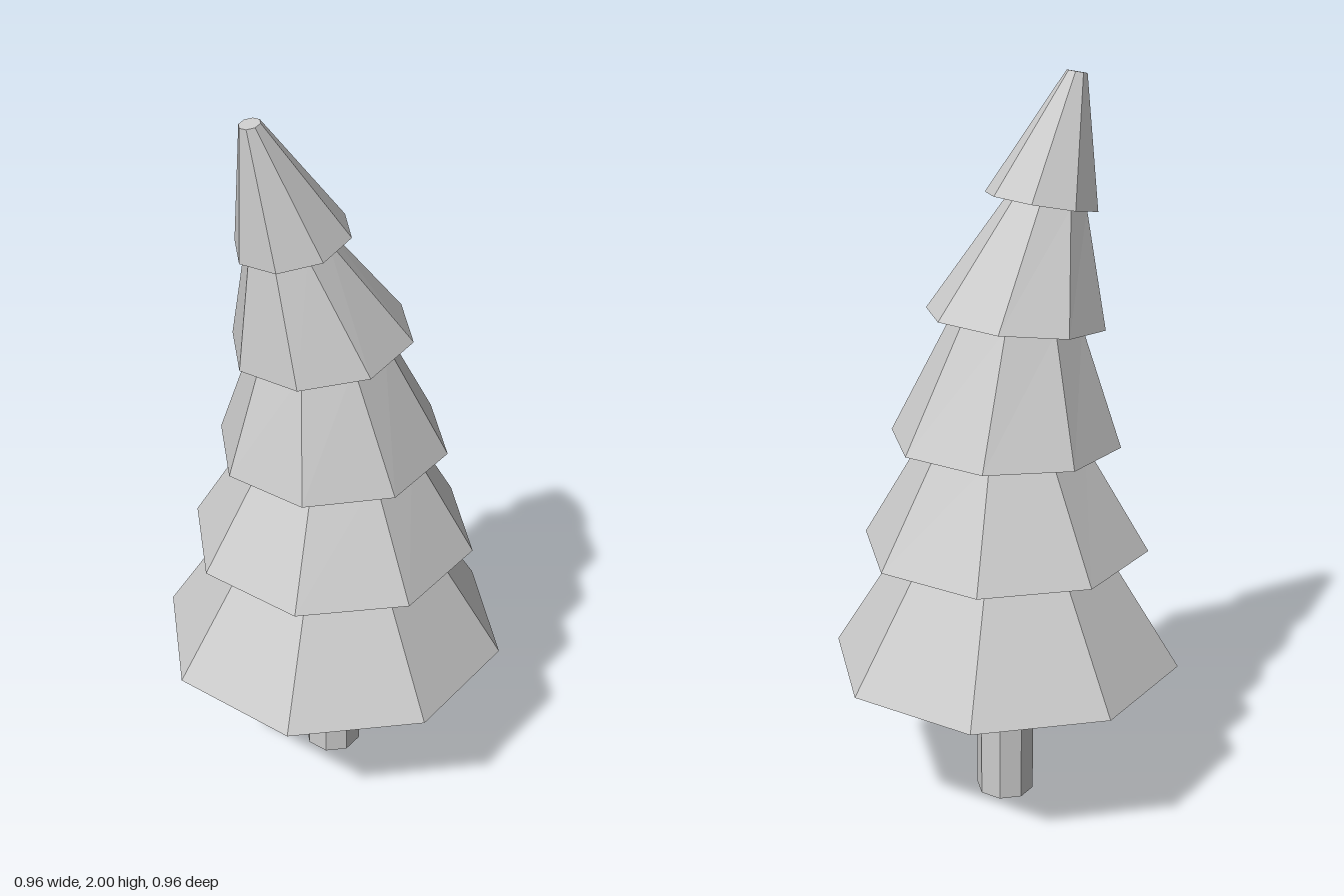
import * as THREE from 'three';

const SIDES = 8;

// Octagonal ring centred at (x, y), rising towards +x by the given slope
function ring(x, y, radius, slope = 0) {
  return Array.from({ length: SIDES }, (_, i) => {
    const a = (i / SIDES) * Math.PI * 2;
    const dx = radius * Math.cos(a);
    return [x + dx, y + dx * slope, radius * Math.sin(a)];
  });
}

// Flat-shaded skin through a series of rings, listed from bottom to top along the surface
function skin(rings) {
  const positions = rings.flat(2);
  const index = [];
  for (let r = 0; r < rings.length - 1; r++) {
    for (let i = 0; i < SIDES; i++) {
      const j = (i + 1) % SIDES;
      const a = r * SIDES + i, b = r * SIDES + j;
      index.push(a, a + SIDES, b, b, a + SIDES, b + SIDES);
    }
  }
  const indexed = new THREE.BufferGeometry();
  indexed.setAttribute('position', new THREE.Float32BufferAttribute(positions, 3));
  indexed.setIndex(index);
  const geometry = indexed.toNonIndexed();
  geometry.computeVertexNormals();
  return geometry;
}

export function createModel() {
  const group = new THREE.Group();
  const material = new THREE.MeshStandardMaterial({
    color: 0xcccccc, flatShading: true, side: THREE.DoubleSide,
  });
  const add = (name, geometry) => {
    const mesh = new THREE.Mesh(geometry, material);
    mesh.name = name;
    group.add(mesh);
    return mesh;
  };

  // Trunk, open at the foot
  add('trunk', new THREE.CylinderGeometry(0.08, 0.08, 0.42, SIDES, 1, true)).position.y = 0.21;

  // Foliage tiers: lower and upper ring as [x, y, radius, slope], bending towards -x
  const tiers = [
    [[0, 0.42, 0.48], [0, 0.755, 0.27]],
    [[0, 0.755, 0.39], [0, 1.05, 0.215, 0.03]],
    [[0, 1.05, 0.31, 0.03], [-0.04, 1.373, 0.17, 0.116]],
    [[-0.032, 1.373, 0.238, 0.116], [-0.131, 1.67, 0.104, 0.2]],
    [[-0.113, 1.672, 0.148, 0.2], [-0.222, 1.994, 0.027, 0.2]],
  ];

  // Each underside starts at the top of the tier beneath it
  let inner = ring(0, 0.42, 0);
  tiers.forEach(([low, high], i) => {
    const top = ring(...high);
    const rings = [inner, ring(...low), top];
    if (i === tiers.length - 1) rings.push(ring(high[0], high[1], 0)); // blunt tip
    add(`foliageTier${i + 1}`, skin(rings));
    inner = top;
  });

  return group;
}
